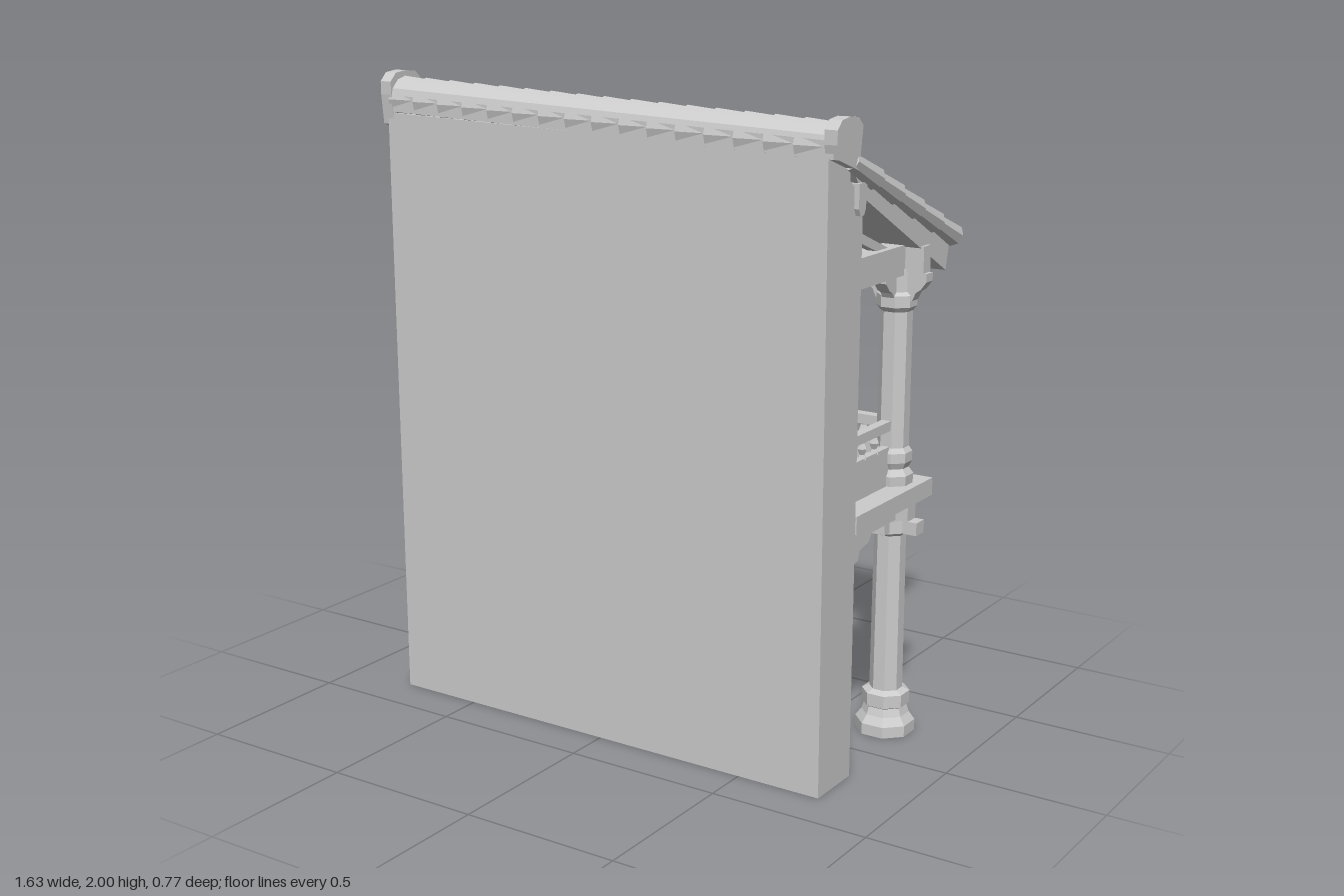
import * as THREE from 'three';

export function createModel() {
  const model = new THREE.Group();
  const stone = new THREE.MeshStandardMaterial({ color: 0xcccccc, flatShading: true, side: THREE.DoubleSide });
  stone.name = 'paleGrey';

  const add = (name, geo, parent = model) => {
    const m = new THREE.Mesh(geo, stone);
    m.name = name;
    parent.add(m);
    return m;
  };
  // Box given by its limits on each axis
  const box = (name, x0, x1, y0, y1, z0, z1, parent) => add(name,
    new THREE.BoxGeometry(x1 - x0, y1 - y0, z1 - z0)
      .translate((x0 + x1) / 2, (y0 + y1) / 2, (z0 + z1) / 2), parent);
  // Side profile of [z, y] points, extruded along x around the centre x
  const profile = (name, pts, width, x, parent) => {
    const shape = new THREE.Shape(pts.map(p => new THREE.Vector2(p[0], p[1])));
    const g = new THREE.ExtrudeGeometry(shape, { depth: width, bevelEnabled: false });
    return add(name, g.rotateY(-Math.PI / 2).translate(x + width / 2, 0, 0), parent);
  };
  // Eight-sided turned piece with flats facing the axes
  const turned = (name, pts, x, z, parent, sides = 8) => {
    const k = 1 / Math.cos(Math.PI / sides);
    const g = new THREE.LatheGeometry(pts.map(p => new THREE.Vector2(p[0] * k, p[1])), sides, Math.PI / sides);
    return add(name, g.translate(x, 0, z), parent);
  };
  // Moves the upper vertices so that the ridge falls gently towards +x
  const tilt = (mesh, from, slope) => {
    const p = mesh.geometry.attributes.position;
    for (let i = 0; i < p.count; i++) if (p.getY(i) > from) p.setY(i, p.getY(i) - slope * p.getX(i));
    mesh.geometry.computeVertexNormals();
  };

  // Back wall and ridge board
  const wall = profile('wall', [[0.36, 0], [0.175, 0], [0.175, 1.71], [0.25, 1.77], [0.25, 1.86], [0.372, 1.86]], 1.54, 0);
  tilt(wall, 1.8, 0.02);
  const board = box('ridgeBoard', -0.785, 0.785, 1.86, 1.91, 0.255, 0.374);
  tilt(board, 1.8, 0.025);

  // Balcony floor
  box('floor', -0.775, 0.775, 0.745, 0.8, -0.305, 0.175);
  box('floorBeam', -0.76, 0.76, 0.69, 0.745, -0.225, -0.175);

  const colX = [-0.69, -0.25, 0.25, 0.69], colZ = -0.2;
  const corbel = [[0.175, 0.51], [0.145, 0.52], [0.135, 0.56], [0.115, 0.57], [0.105, 0.61],
    [0.045, 0.62], [0.035, 0.65], [-0.02, 0.66], [-0.04, 0.69], [0.175, 0.69]];
  for (const x of colX) {
    const bay = new THREE.Group();
    bay.name = 'columnBay';
    model.add(bay);

    // Lower column with its bracket and wall corbel
    turned('lowerColumn', [[0, 0], [0.085, 0], [0.085, 0.035], [0.068, 0.06], [0.06, 0.085], [0.068, 0.09],
      [0.068, 0.13], [0.047, 0.14], [0.045, 0.64], [0.056, 0.65], [0.056, 0.69]], x, colZ, bay);
    box('lowerBracketAcross', x - 0.1, x + 0.1, 0.65, 0.69, colZ - 0.025, colZ + 0.025, bay);
    box('lowerBracketAlong', x - 0.025, x + 0.025, 0.655, 0.69, colZ - 0.085, colZ + 0.085, bay);
    box('crossBeam', x - 0.03, x + 0.03, 0.69, 0.745, -0.23, 0.175, bay);
    profile('wallCorbel', corbel, 0.045, x, bay);

    // Upper column
    turned('upperColumn', [[0.058, 0.8], [0.06, 0.83], [0.046, 0.85], [0.055, 0.87], [0.055, 0.9], [0.045, 0.915],
      [0.045, 1.33], [0.056, 1.345], [0.056, 1.38], [0.045, 1.39], [0.045, 1.46]], x, colZ, bay);

    // Stepped eave brackets in both directions
    const steps = [[-0.14, 1.45], [-0.14, 1.425], [-0.115, 1.4], [-0.095, 1.39], [-0.08, 1.365], [0.08, 1.365],
      [0.095, 1.39], [0.115, 1.4], [0.14, 1.425], [0.14, 1.45]];
    profile('eaveBracketAlong', steps.map(([z, y]) => [z + colZ - (z < 0 ? 0 : 0.03), y]), 0.04, x, bay);
    const across = profile('eaveBracketAcross', steps.map(([z, y]) => [z * 0.75, y]), 0.04, 0, bay);
    across.rotation.y = Math.PI / 2;
    across.position.set(x, 0, colZ);

    // Tie beam to the wall, its sloping strut and the block under the eave
    box('tieBeam', x - 0.035, x + 0.035, 1.44, 1.53, -0.22, 0.175, bay);
    profile('roofStrut', [[0.175, 1.64], [0.175, 1.61], [-0.06, 1.52], [-0.13, 1.52]], 0.03, x, bay);
    box('eaveBlock', x - 0.05, x + 0.05, 1.38, 1.53, -0.225, -0.18, bay);

    // Partition between wall and column
    box('partitionPanel', x - 0.012, x + 0.012, 0.8, 0.92, -0.16, 0.16, bay);
    box('partitionRail', x - 0.015, x + 0.015, 0.97, 1.0, -0.16, 0.175, bay);
    for (let i = 0; i < 4; i++) baluster(x, -0.08 + i * 0.075, bay);
    turned('wallPost', [[0.017, 0.8], [0.017, 1.0], [0.009, 1.01], [0.018, 1.025], [0.014, 1.045], [0, 1.05]], x, 0.155, bay);
  }

  function baluster(x, z, parent) {
    turned('baluster', [[0.013, 0.915], [0.007, 0.93], [0.014, 0.948], [0.008, 0.965], [0.011, 0.975]], x, z, parent, 6);
  }

  // Front railing between the columns
  for (let i = 0; i < 3; i++) {
    const a = colX[i] + 0.04, b = colX[i + 1] - 0.04;
    box('railPanel', a, b, 0.8, 0.915, colZ - 0.012, colZ + 0.012);
    box('topRail', a, b, 0.97, 1.0, colZ - 0.017, colZ + 0.017);
    for (let k = 1; k <= 5; k++) baluster(a + (b - a) * k / 6, colZ, model);
  }

  // Eave beam and roof slab
  box('eaveBeam', -0.785, 0.785, 1.45, 1.53, -0.222, -0.178);
  profile('roofSlab', [[0.26, 1.82], [0.18, 1.715], [-0.345, 1.435], [-0.365, 1.525]], 1.55, 0);
  for (const x of [-0.76, 0.76]) {
    profile('wallTopScroll', [[0.225, 1.76], [0.225, 1.69], [0.215, 1.67], [0.195, 1.67], [0.185, 1.69], [0.18, 1.76]], 0.05, x);
  }

  // Rolled roof tiles: a sheet of seventeen rounded ribs
  const rolls = 17, width = 1.53;
  const tiles = new THREE.PlaneGeometry(width, 1, rolls * 6, 1);
  const tp = tiles.attributes.position;
  for (let i = 0; i < tp.count; i++) {
    const x = -tp.getX(i), v = tp.getY(i) + 0.5;
    const rib = Math.abs(Math.sin((x / width + 0.5) * rolls * Math.PI));
    const y = 1.53 + v * (0.31 - 0.025 * x) + 0.042 * rib;
    tp.setXYZ(i, x, y, -0.37 - 0.01 * rib + v * 0.66);
  }
  tiles.computeVertexNormals();
  add('roofTiles', tiles);

  // Overlapping tiles along both sloping edges
  const top = new THREE.Vector3(0, 1.825, 0.265), low = new THREE.Vector3(0, 1.54, -0.37);
  const slopeAngle = Math.atan2(top.z - low.z, top.y - low.y);
  for (const side of [-1, 1]) {
    for (let i = 0; i < 5; i++) {
      const tile = add('edgeTile', new THREE.CylinderGeometry(0.026, 0.035, top.distanceTo(low) / 5 + 0.01, 8));
      tile.position.lerpVectors(low, top, (i + 0.5) / 5);
      tile.position.x = side * 0.78;
      tile.rotation.x = slopeAngle;
    }
  }

  // Ridge tiles, stepping down towards +x
  const ridgeY = x => 1.895 - 0.03 * x;
  const count = 16, step = 1.52 / count;
  for (let i = 0; i < count; i++) {
    const x = -0.755 + (i + 0.5) * step;
    const tile = add('ridgeTile', new THREE.CylinderGeometry(0.068, 0.06, step + 0.01, 12));
    tile.rotation.z = Math.PI / 2;
    tile.position.set(x, ridgeY(x), 0.313);
  }

  // Rounded ridge ends
  for (const [x, peak] of [[-0.77, 2.0], [0.78, 1.95]]) {
    profile('ridgeEnd', [[0.37, 1.84], [0.255, 1.8], [0.245, peak - 0.07], [0.238, peak - 0.03], [0.265, peak - 0.005],
      [0.31, peak], [0.355, peak - 0.005], [0.38, peak - 0.03], [0.38, peak - 0.07]], 0.04, x);
  }
  return model;
}
